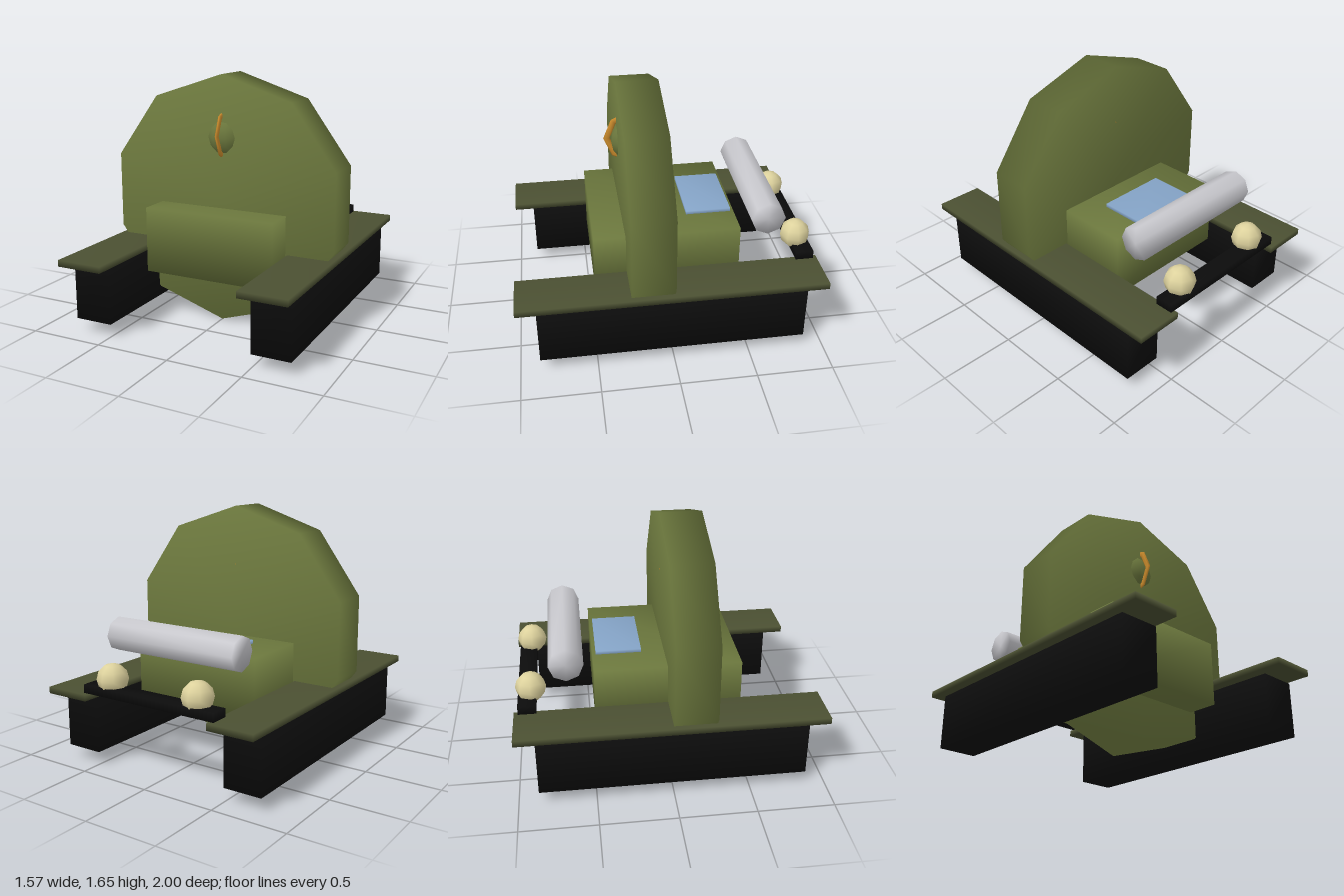
import * as THREE from 'three';
import { mergeVertices } from 'three/addons/utils/BufferGeometryUtils.js';

const paint = (name, color) => {
  const m = new THREE.MeshStandardMaterial({ color });
  m.name = name;
  return m;
};

// Weld shared corners so the shading runs softly over the edges
function soften(geometry) {
  geometry.deleteAttribute('normal');
  geometry.deleteAttribute('uv');
  const welded = mergeVertices(geometry, 1e-4);
  welded.computeVertexNormals();
  return welded;
}

export function createModel() {
  const group = new THREE.Group();
  const olive = paint('olive', 0x6b773d);
  const darkOlive = paint('dark olive', 0x4b5032);
  const black = paint('black', 0x0c0c0c);
  const silver = paint('silver', 0xc8c8cd);
  const cream = paint('cream', 0xded39e);
  const blue = paint('glass blue', 0x84a3c6);
  const gold = paint('gold', 0xc98a2c);

  const add = (name, geometry, material, x = 0, y = 0, z = 0) => {
    const mesh = new THREE.Mesh(soften(geometry), material);
    mesh.name = name;
    mesh.position.set(x, y, z);
    group.add(mesh);
    return mesh;
  };
  // Box given by its limits on each axis
  const box = (name, material, [x0, x1], [y0, y1], [z0, z1]) =>
    add(name, new THREE.BoxGeometry(x1 - x0, y1 - y0, z1 - z0), material,
      (x0 + x1) / 2, (y0 + y1) / 2, (z0 + z1) / 2);

  // Hull and its roof window
  box('hull', olive, [-0.456, 0.456], [0.34, 0.777], [-0.477, 0.48]);
  box('window', blue, [-0.238, 0.238], [0.76, 0.8], [-0.455, -0.155]);

  // Upright ten-sided disc
  const disc = new THREE.CylinderGeometry(0.825, 0.825, 0.277, 10);
  disc.rotateX(Math.PI / 2);
  disc.rotateZ(Math.PI); // a corner points straight up
  add('disc', disc, olive, 0, 0.828, 0.135);

  // Half-sunk ball with a thin ring around it
  add('ball', new THREE.SphereGeometry(0.145, 10, 8), olive, 0, 1.247, 0.173);
  const ring = new THREE.TorusGeometry(0.163, 0.021, 6, 8);
  ring.scale(1, 1, 0.5);
  ring.rotateY(Math.PI / 2);
  add('ring', ring, gold, 0, 1.263, 0.177);

  // Tracks and fenders on both sides
  for (const s of [-1, 1]) {
    const side = s > 0 ? 'left' : 'right';
    const span = (a, b) => (s > 0 ? [a, b] : [-b, -a]);
    box(side + 'Track', black, span(0.495, 0.755), [0.09, 0.455], [-0.868, 0.87]);
    box(side + 'Fender', darkOlive, span(0.468, 0.783), [0.477, 0.52], [-1, 1]);
    add(side + 'Lamp', new THREE.SphereGeometry(0.101, 8, 6), cream, s * 0.33, 0.622, -0.888);
  }

  // Rear bar under the lamps, and the floating roller
  box('rearBar', black, [-0.5, 0.5], [0.522, 0.577], [-0.973, -0.855]);
  const roller = new THREE.CylinderGeometry(0.112, 0.112, 0.96, 8);
  roller.rotateZ(Math.PI / 2);
  add('roller', roller, silver, 0, 0.848, -0.653);

  return group;
}
